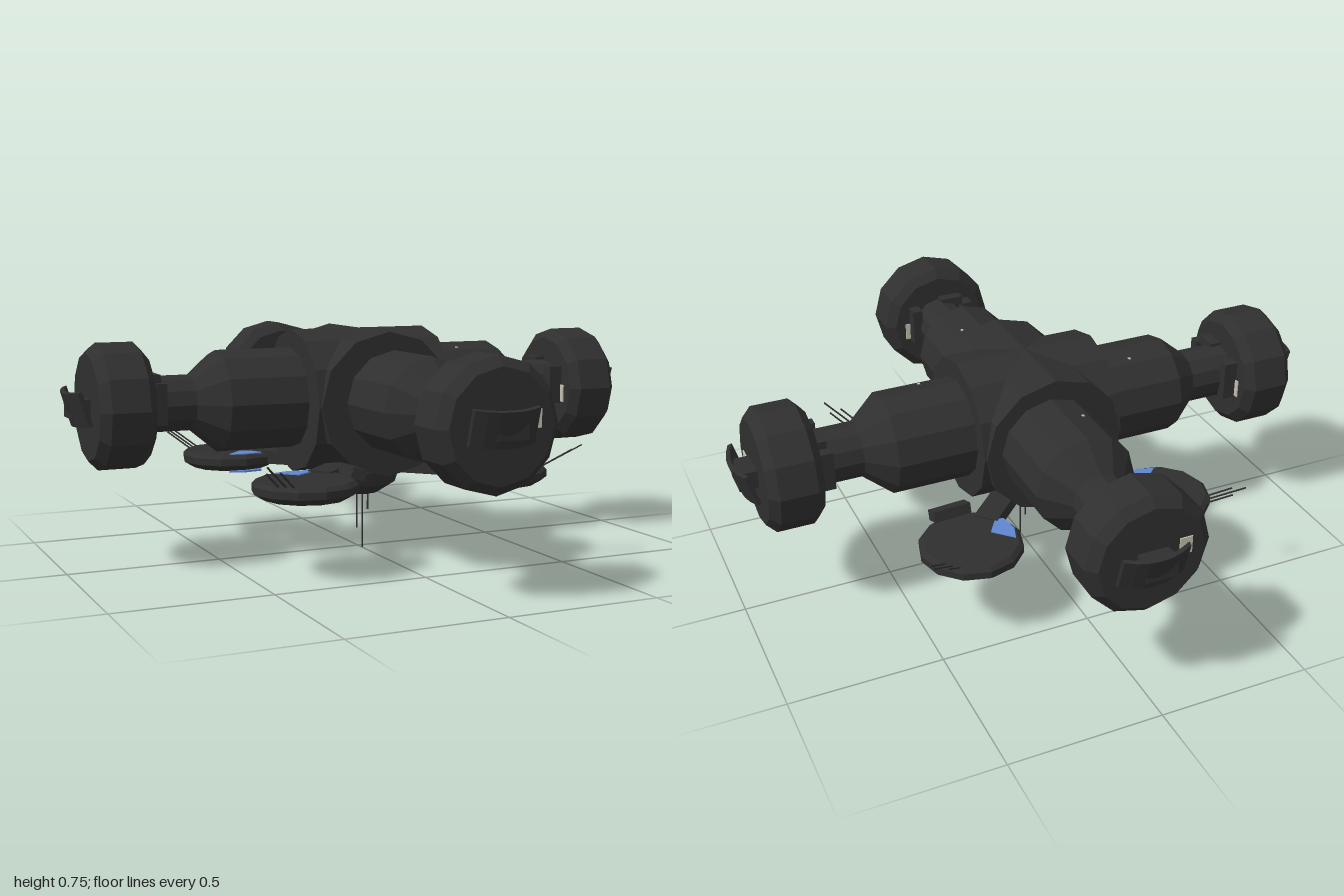
import * as THREE from 'three';

const mat = (name, color, extra = {}) => {
  const m = new THREE.MeshStandardMaterial({ color, flatShading: true, ...extra });
  m.name = name;
  return m;
};

export function createModel() {
  const hull = mat('dark hull', 0x2f2f2f);
  const blue = mat('blue panel', 0x5f86d0);
  const light = mat('pale window', 0xc4bfae);
  const model = new THREE.Group();
  const AXIS = 0.52; // height of the arm axes

  const add = (parent, name, geo, material, x = 0, y = 0, z = 0) => {
    const m = new THREE.Mesh(geo, material);
    m.name = name;
    m.position.set(x, y, z);
    parent.add(m);
    return m;
  };
  const box = (parent, name, w, h, d, material, x, y, z) =>
    add(parent, name, new THREE.BoxGeometry(w, h, d), material, x, y, z);
  const lathe = (pts, n = 12) =>
    new THREE.LatheGeometry(pts.map(([r, y]) => new THREE.Vector2(r, y)), n);
  const rod = (parent, name, a, b, r) => {
    const p = new THREE.Vector3(...a), q = new THREE.Vector3(...b);
    const m = add(parent, name, new THREE.CylinderGeometry(r, r, p.distanceTo(q), 4), hull);
    m.position.copy(p).lerp(q, 0.5);
    m.quaternion.setFromUnitVectors(new THREE.Vector3(0, 1, 0), q.sub(p).normalize());
  };

  // Hub: two crossed drums
  const hub = new THREE.Group();
  hub.name = 'hub';
  hub.position.y = AXIS - 0.01;
  for (const turn of [0, Math.PI / 2]) {
    const g = new THREE.CylinderGeometry(0.235, 0.235, 0.48, 12).rotateX(Math.PI / 2).rotateY(turn);
    add(hub, 'hubDrum', g, hull);
  }
  model.add(hub);

  // Curved end shield, bowed outwards and tilted
  const shieldGeo = new THREE.BoxGeometry(0.21, 0.11, 0.014, 6, 1, 1);
  const sp = shieldGeo.attributes.position;
  for (let i = 0; i < sp.count; i++) sp.setZ(i, sp.getZ(i) - 2.4 * sp.getX(i) ** 2);
  shieldGeo.rotateX(0.28);

  const armGeo = lathe([[0.165, 0.18], [0.165, 0.5], [0.09, 0.59], [0.09, 0.76]]).rotateX(Math.PI / 2);
  const drumGeo = lathe([[0, 0.742], [0.17, 0.742], [0.2, 0.77], [0.2, 0.89], [0.17, 0.92], [0, 0.92]])
    .rotateX(Math.PI / 2);

  // Four arms, each built along +z and turned into place
  for (let i = 0; i < 4; i++) {
    const arm = new THREE.Group();
    const alongZ = i % 2 === 0, s = alongZ ? 1 : -1;
    arm.name = 'arm';
    arm.position.set(alongZ ? 0.018 : 0, AXIS, alongZ ? 0 : -0.012);
    arm.rotation.y = i * Math.PI / 2;
    add(arm, 'armTube', armGeo, hull);
    add(arm, 'endDrum', drumGeo, hull);
    box(arm, 'dockingStub', 0.1, 0.06, 0.07, hull, 0, 0, 0.945);
    add(arm, 'endShield', shieldGeo, hull, -0.015 * s, 0, 0.978);
    box(arm, 'faceWindow', 0.04, 0.055, 0.006, light, 0.105 * s, alongZ ? 0.02 : -0.02, 0.921);
    box(arm, 'innerWindow', 0.035, 0.06, 0.006, light, 0.115 * s, -0.02, 0.741);
    for (const side of [-1, 1]) {
      box(arm, 'neckClamp', 0.035, 0.13, 0.05, hull, side * 0.098, 0.01, 0.72);
    }
    box(arm, 'neckHatch', 0.08, 0.03, 0.04, hull, -0.04 * s, 0.085, 0.725);
    box(arm, 'portLight', 0.008, 0.006, 0.008, light, 0.06 * s, 0.149, 0.35);
    model.add(arm);
  }

  // Underside dome with three probes
  add(model, 'lowerDome', lathe([[0, 0.18], [0.07, 0.19], [0.125, 0.225], [0.14, 0.27], [0.13, 0.34]]), hull);
  rod(model, 'probe', [0, 0.2, 0.035], [0, 0, 0.035], 0.003);
  rod(model, 'probe', [-0.02, 0.2, 0.035], [-0.02, 0.07, 0.035], 0.003);
  rod(model, 'probe', [0.02, 0.2, 0.035], [0.02, 0.13, 0.035], 0.003);

  const discGeo = lathe([[0, 0.245], [0.13, 0.25], [0.167, 0.272], [0.167, 0.295], [0.153, 0.308], [0, 0.308]]);
  const patch = new THREE.Shape(
    [[-0.138, -0.065], [-0.11, -0.068], [-0.072, -0.01], [-0.132, 0.05], [-0.148, 0]]
      .map(([x, z]) => new THREE.Vector2(x, -z)));
  const patchGeo = new THREE.ExtrudeGeometry(patch, { depth: 0.006, bevelEnabled: false }).rotateX(-Math.PI / 2);

  // Four disc pods on the diagonals, mirrored front to back
  for (const sz of [1, -1]) {
    const half = new THREE.Group();
    half.name = sz > 0 ? 'frontPods' : 'backPods';
    half.scale.z = sz;
    for (const sx of [1, -1]) {
      const pod = new THREE.Group();
      pod.name = 'discPod';
      pod.position.set(sx * 0.336, 0, 0.343);
      pod.rotation.y = sx > 0 ? 0 : -Math.PI / 2;
      add(pod, 'disc', discGeo, hull);
      add(pod, 'bluePanelTop', patchGeo, blue, 0, 0.305, 0);
      add(pod, 'bluePanelBottom', patchGeo, blue, 0, 0.246, 0);
      const strut = box(pod, 'strut', 0.08, 0.045, 0.24, hull, -0.17, 0.292, -0.17);
      strut.rotation.y = Math.PI / 4;
      const bracket = box(pod, 'bracket', 0.13, 0.035, 0.045, hull, 0.01, 0.322, -0.155);
      bracket.rotation.set(-0.3, -0.12, 0);
      for (const [o, a, len] of [[-0.018, 0.09, 0.075], [0, 0.09, 0.11], [0.018, 0.09, 0.085]]) {
        rod(pod, 'antenna', [a + o, 0.295, a - o], [a + o + len, 0.3 + len * 0.8, a - o + len], 0.003);
      }
      half.add(pod);
    }
    model.add(half);
  }
  return model;
}
